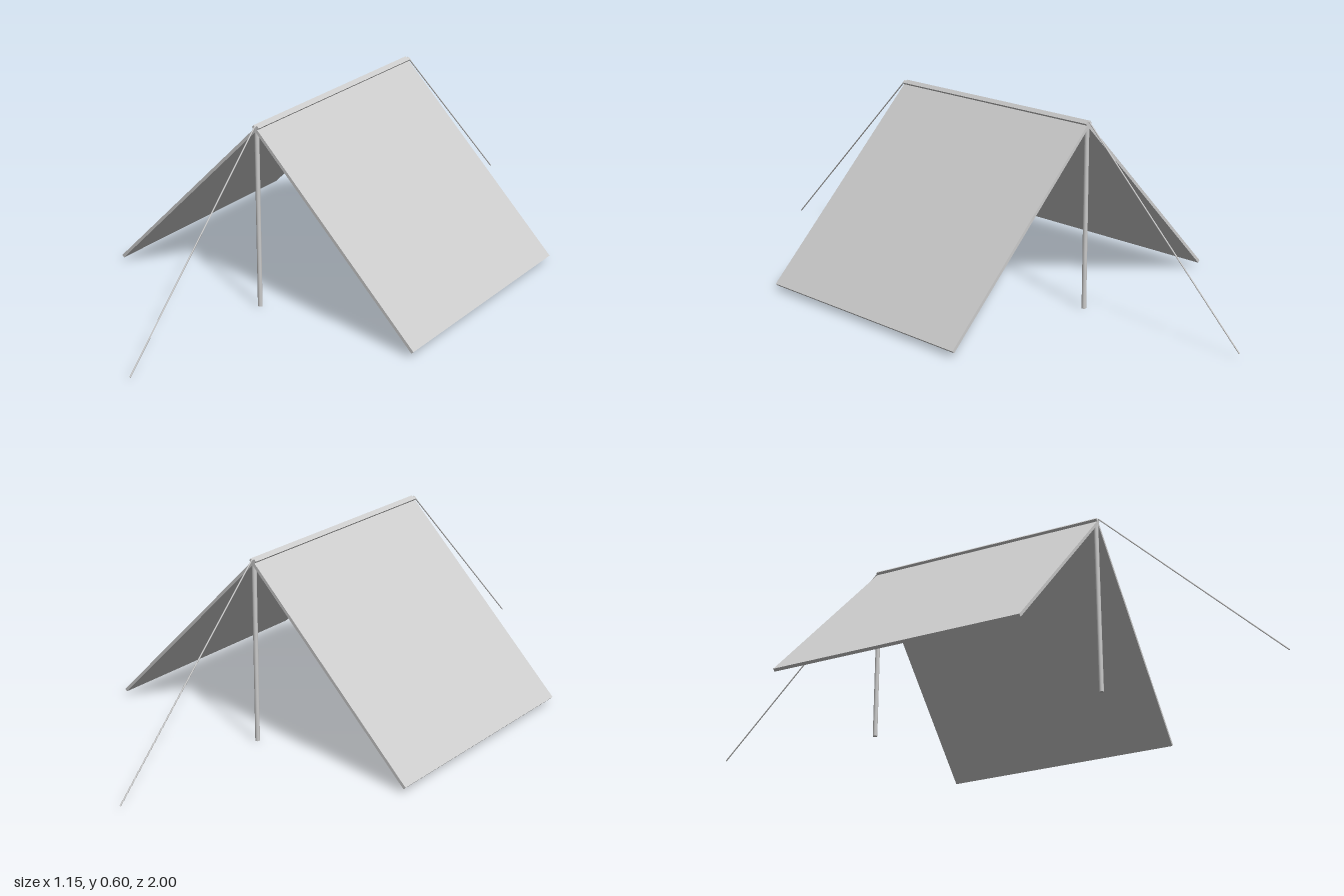
import * as THREE from 'three';

const material = new THREE.MeshStandardMaterial({ color: 0xcccccc });

function add(group, name, geometry) {
  const mesh = new THREE.Mesh(geometry, material);
  mesh.name = name;
  group.add(mesh);
  return mesh;
}

// Straight round rod between two points
function addRod(group, name, from, to, radius, sides) {
  const direction = to.clone().sub(from);
  const rod = add(group, name, new THREE.CylinderGeometry(radius, radius, direction.length(), sides));
  rod.position.copy(from).add(to).multiplyScalar(0.5);
  rod.quaternion.setFromUnitVectors(new THREE.Vector3(0, 1, 0), direction.normalize());
}

export function createModel() {
  const tent = new THREE.Group();
  tent.name = 'tent';

  // Two square roof panels, crossing slightly at the ridge
  for (const [side, name] of [[1, 'leftRoofPanel'], [-1, 'rightRoofPanel']]) {
    const panel = add(tent, name, new THREE.BoxGeometry(0.82, 0.01, 0.82));
    panel.position.set(side * 0.28, 0.307, 0);
    panel.rotation.z = -side * Math.PI / 4;
  }

  // Upright pole and guy rope at each end
  for (const [end, name] of [[1, 'front'], [-1, 'back']]) {
    addRod(tent, name + 'Pole', new THREE.Vector3(0, 0, end * 0.403),
      new THREE.Vector3(0, 0.595, end * 0.403), 0.0075, 12);
    addRod(tent, name + 'GuyRope', new THREE.Vector3(0, 0.598, end * 0.412),
      new THREE.Vector3(0, 0.017, end * 0.998), 0.0022, 8);
  }

  return tent;
}
